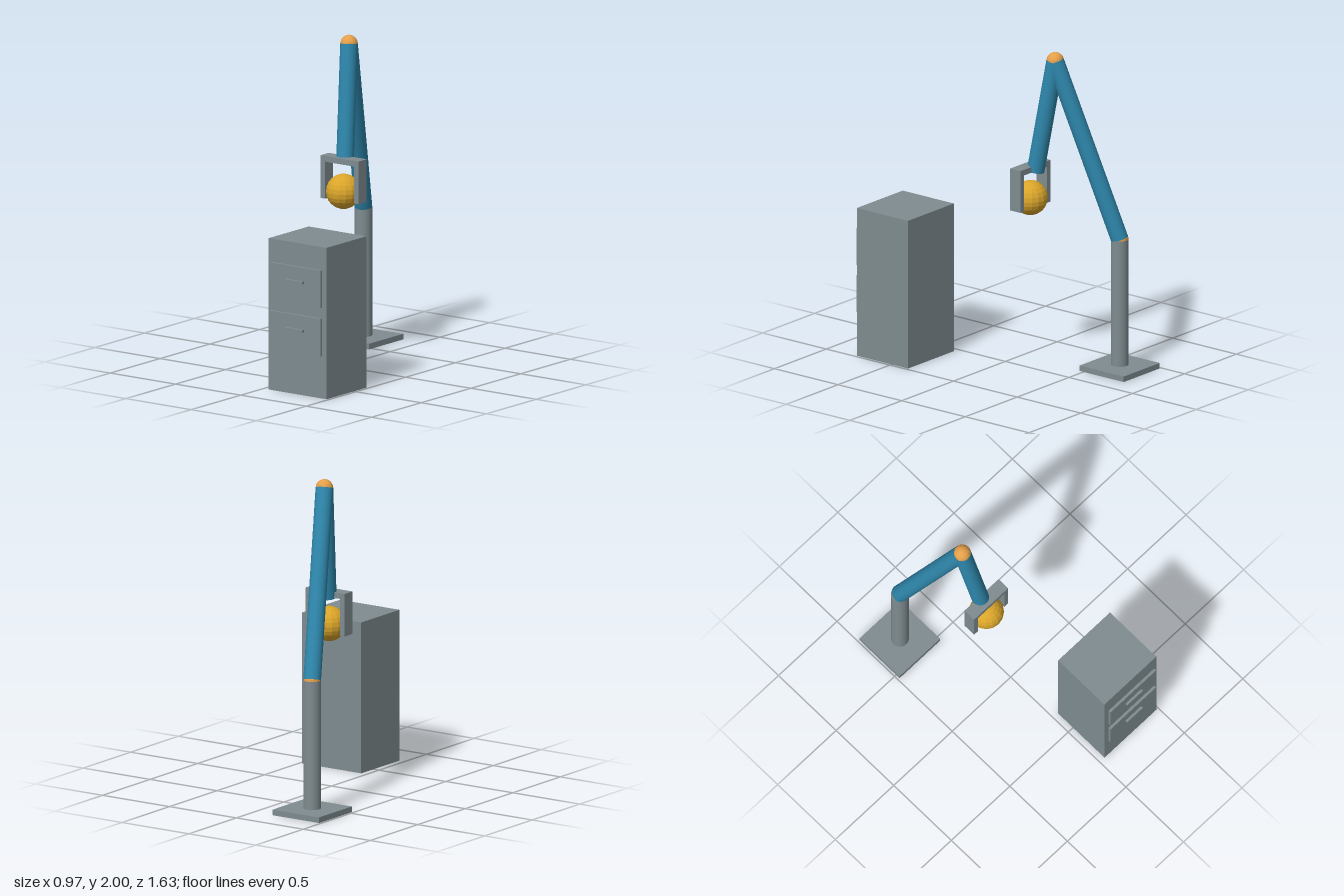
import * as THREE from 'three';

export function createModel() {
  const model = new THREE.Group();
  model.name = 'robotArmAndCabinet';

  const material = (name, color, flatShading = false) => {
    const m = new THREE.MeshStandardMaterial({ color, flatShading });
    m.name = name;
    return m;
  };
  const grey = material('steelGrey', 0x7f8c90);
  const blue = material('armBlue', 0x2e86ab);
  const orange = material('jointOrange', 0xe5a04a, true);
  const gold = material('ballGold', 0xdaa52a, true);

  const add = (name, geometry, mat, parent = model) => {
    const mesh = new THREE.Mesh(geometry, mat);
    mesh.name = name;
    parent.add(mesh);
    return mesh;
  };

  // Box given by its minimum and maximum on each axis
  const box = (name, [x0, x1], [y0, y1], [z0, z1], parent) => {
    const mesh = add(name, new THREE.BoxGeometry(x1 - x0, y1 - y0, z1 - z0), grey, parent);
    mesh.position.set((x0 + x1) / 2, (y0 + y1) / 2, (z0 + z1) / 2);
    return mesh;
  };

  // Cylinder running between two points
  const rod = (name, a, b, radius, mat, parent) => {
    const dir = b.clone().sub(a);
    const mesh = add(name, new THREE.CylinderGeometry(radius, radius, dir.length(), 32), mat, parent);
    mesh.position.copy(a).add(b).multiplyScalar(0.5);
    mesh.quaternion.setFromUnitVectors(new THREE.Vector3(0, 1, 0), dir.normalize());
    return mesh;
  };

  const ball = (name, centre, radius, mat, parent) => {
    const mesh = add(name, new THREE.SphereGeometry(radius, 16, 12), mat, parent);
    mesh.position.copy(centre);
    return mesh;
  };

  // Arm: base plate, column, two links and their joints
  const arm = new THREE.Group();
  arm.name = 'arm';
  model.add(arm);
  const foot = new THREE.Vector3(-0.313, 0.035, -0.643);
  const shoulder = new THREE.Vector3(-0.313, 0.838, -0.643);
  const elbow = new THREE.Vector3(-0.143, 1.946, -0.275);
  const wrist = new THREE.Vector3(-0.09, 1.233, -0.165);
  box('basePlate', [-0.487, -0.14], [0, 0.035], [-0.816, -0.47], arm);
  rod('column', foot, shoulder, 0.054, grey, arm);
  ball('shoulderJoint', shoulder, 0.054, orange, arm);
  rod('lowerArm', shoulder, elbow, 0.054, blue, arm);
  ball('elbowJoint', elbow, 0.054, orange, arm);
  rod('upperArm', elbow, wrist, 0.054, blue, arm);

  // Gripper holding a ball
  const gripper = new THREE.Group();
  gripper.name = 'gripper';
  model.add(gripper);
  const depth = [-0.174, -0.092];
  box('palm', [-0.222, 0.069], [1.235, 1.271], depth, gripper);
  box('rightFinger', [-0.222, -0.188], [1.004, 1.235], depth, gripper);
  box('leftFinger', [0.036, 0.069], [1.004, 1.235], depth, gripper);
  ball('heldBall', new THREE.Vector3(-0.077, 1.058, -0.133), 0.108, gold, gripper);

  // Cabinet with two drawers, whose fronts stand slightly clear of the body
  const cabinet = new THREE.Group();
  cabinet.name = 'cabinet';
  model.add(cabinet);
  box('cabinetBody', [0.041, 0.484], [0, 0.946], [0.371, 0.773], cabinet);
  for (const y of [0.385, 0.687]) {
    box('drawerFront', [0.067, 0.457], [y - 0.117, y + 0.117], [0.782, 0.799], cabinet);
    box('drawerHandle', [0.196, 0.329], [y + 0.016, y + 0.032], [0.799, 0.815], cabinet);
  }

  return model;
}
